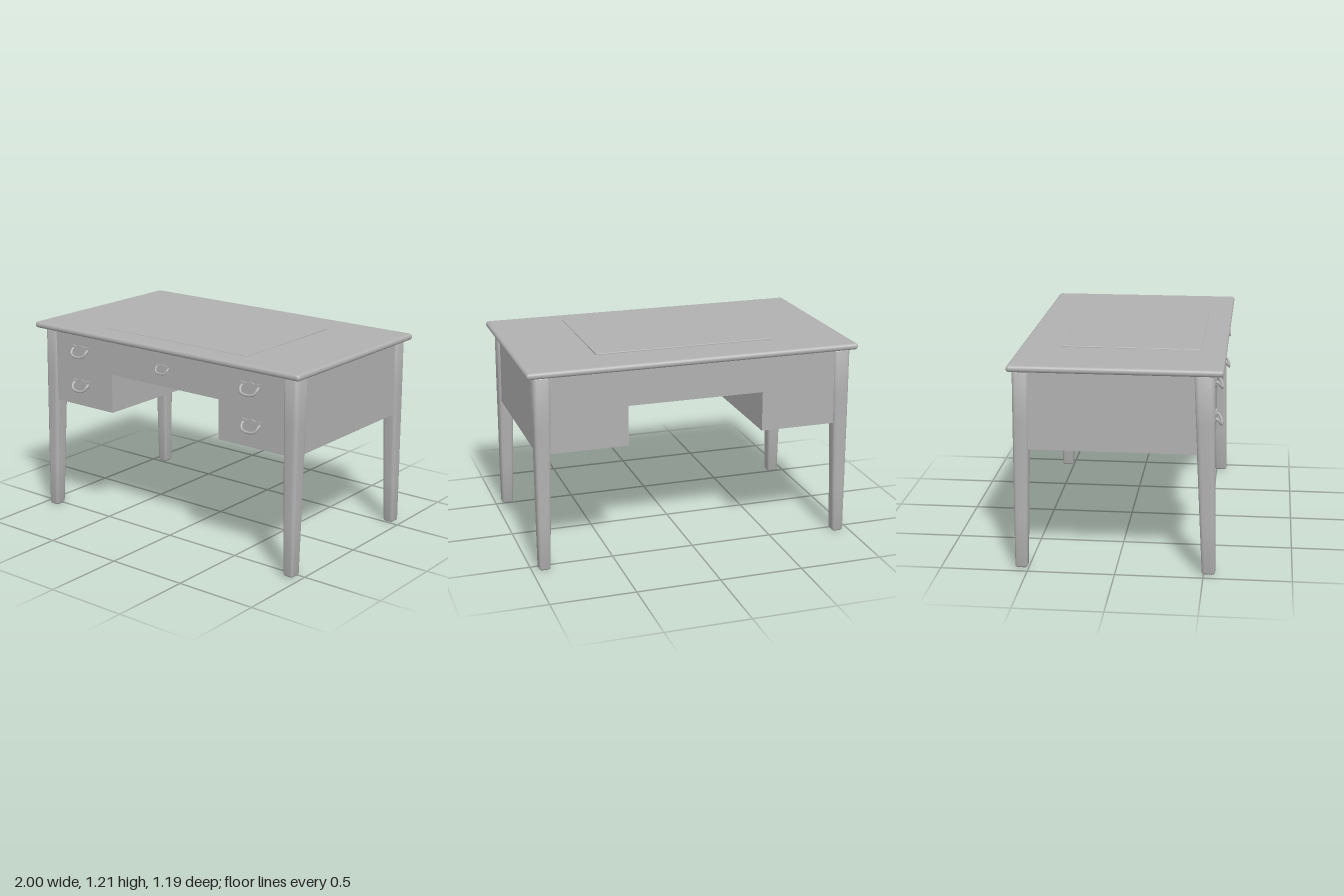
import * as THREE from 'three';
import { RoundedBoxGeometry } from 'three/addons/geometries/RoundedBoxGeometry.js';

export function createModel() {
  const desk = new THREE.Group();
  desk.name = 'desk';
  const grey = new THREE.MeshStandardMaterial({ color: 0xb0b0b0 });
  grey.name = 'plain grey';

  const add = (parent, name, geometry, x = 0, y = 0, z = 0) => {
    const mesh = new THREE.Mesh(geometry, grey);
    mesh.name = name;
    mesh.position.set(x, y, z);
    parent.add(mesh);
    return mesh;
  };

  // Table top with a rounded rim
  add(desk, 'tableTop', new RoundedBoxGeometry(2, 0.038, 1.19, 4, 0.018), 0, 1.184, 0);

  // Writing panel: a very low raised plate, a little higher at the back
  const panel = add(desk, 'writingPanel', new RoundedBoxGeometry(1.08, 0.012, 0.8, 2, 0.004), 0, 1.203, 0.05);
  panel.rotation.x = 0.005;

  // Two pedestals joined by the apron, one U-shaped section run front to back
  const outline = new THREE.Shape([
    [-0.945, 0.71], [-0.41, 0.71], [-0.41, 0.95], [0.41, 0.95],
    [0.41, 0.71], [0.945, 0.71], [0.945, 1.17], [-0.945, 1.17],
  ].map(([x, y]) => new THREE.Vector2(x, y)));
  add(desk, 'cabinet', new THREE.ExtrudeGeometry(outline, { depth: 1.1, bevelEnabled: false }), 0, 0, -0.56);

  // Tapered legs: the inner faces lean inwards as they rise
  const legHeight = 1.17;
  const mix = THREE.MathUtils.lerp;
  function legGeometry(side, bottomZ, topZ) {
    const geometry = new RoundedBoxGeometry(1, 1, 1, 4, 0.25);
    const p = geometry.attributes.position;
    for (let i = 0; i < p.count; i++) {
      // keep the foot rounding small along the height
      let h = p.getY(i);
      h = Math.abs(h) > 0.25 ? Math.sign(h) * (0.485 + (Math.abs(h) - 0.25) * 0.06) : h;
      const t = h + 0.5;
      const x = mix(mix(0.89, 0.855, t), 0.96, p.getX(i) * side + 0.5);
      const z = mix(mix(bottomZ[0], topZ[0], t), mix(bottomZ[1], topZ[1], t), p.getZ(i) + 0.5);
      p.setXYZ(i, x * side, t * legHeight, z);
    }
    geometry.computeVertexNormals();
    // restore smooth shading round the corners
    const n = geometry.attributes.normal, sums = new Map();
    const key = (i) => [p.getX(i), p.getY(i), p.getZ(i)].map((v) => v.toFixed(4)).join();
    const v = new THREE.Vector3();
    for (let i = 0; i < p.count; i++) {
      const k = key(i);
      if (!sums.has(k)) sums.set(k, new THREE.Vector3());
      sums.get(k).add(v.fromBufferAttribute(n, i));
    }
    for (let i = 0; i < p.count; i++) {
      v.copy(sums.get(key(i))).normalize();
      n.setXYZ(i, v.x, v.y, v.z);
    }
    return geometry;
  }
  for (const side of [-1, 1]) {
    const word = side > 0 ? 'Left' : 'Right';
    add(desk, 'front' + word + 'Leg', legGeometry(side, [0.49, 0.567], [0.43, 0.545]));
    add(desk, 'back' + word + 'Leg', legGeometry(side, [-0.578, -0.505], [-0.572, -0.475]));
  }

  // Drawer pulls: a shaped back plate with a hanging bail
  const plateShape = new THREE.Shape([
    [-0.068, 0.03], [-0.062, -0.012], [-0.03, -0.03], [0.03, -0.03],
    [0.062, -0.012], [0.068, 0.03], [0.03, 0.024], [0, 0.034], [-0.03, 0.024],
  ].map(([x, y]) => new THREE.Vector2(x, y)));
  const plate = new THREE.ExtrudeGeometry(plateShape, { depth: 0.008, bevelEnabled: false });
  const bail = new THREE.TubeGeometry(new THREE.CatmullRomCurve3([
    [-0.056, 0.012, 0], [-0.058, -0.002, 0.022], [-0.045, -0.026, 0.036], [0, -0.036, 0.04],
    [0.045, -0.026, 0.036], [0.058, -0.002, 0.022], [0.056, 0.012, 0],
  ].map((c) => new THREE.Vector3(...c))), 28, 0.008, 8);
  const pulls = [[-0.66, 1.06, 1], [0.64, 1.06, 1], [-0.66, 0.845, 1], [0.65, 0.845, 1], [0, 1.06, 0.75]];
  for (const [x, y, size] of pulls) {
    const pull = new THREE.Group();
    pull.name = 'drawerPull';
    add(pull, 'backPlate', plate);
    add(pull, 'bail', bail);
    pull.position.set(x, y, 0.539);
    pull.scale.setScalar(size);
    desk.add(pull);
  }
  return desk;
}
